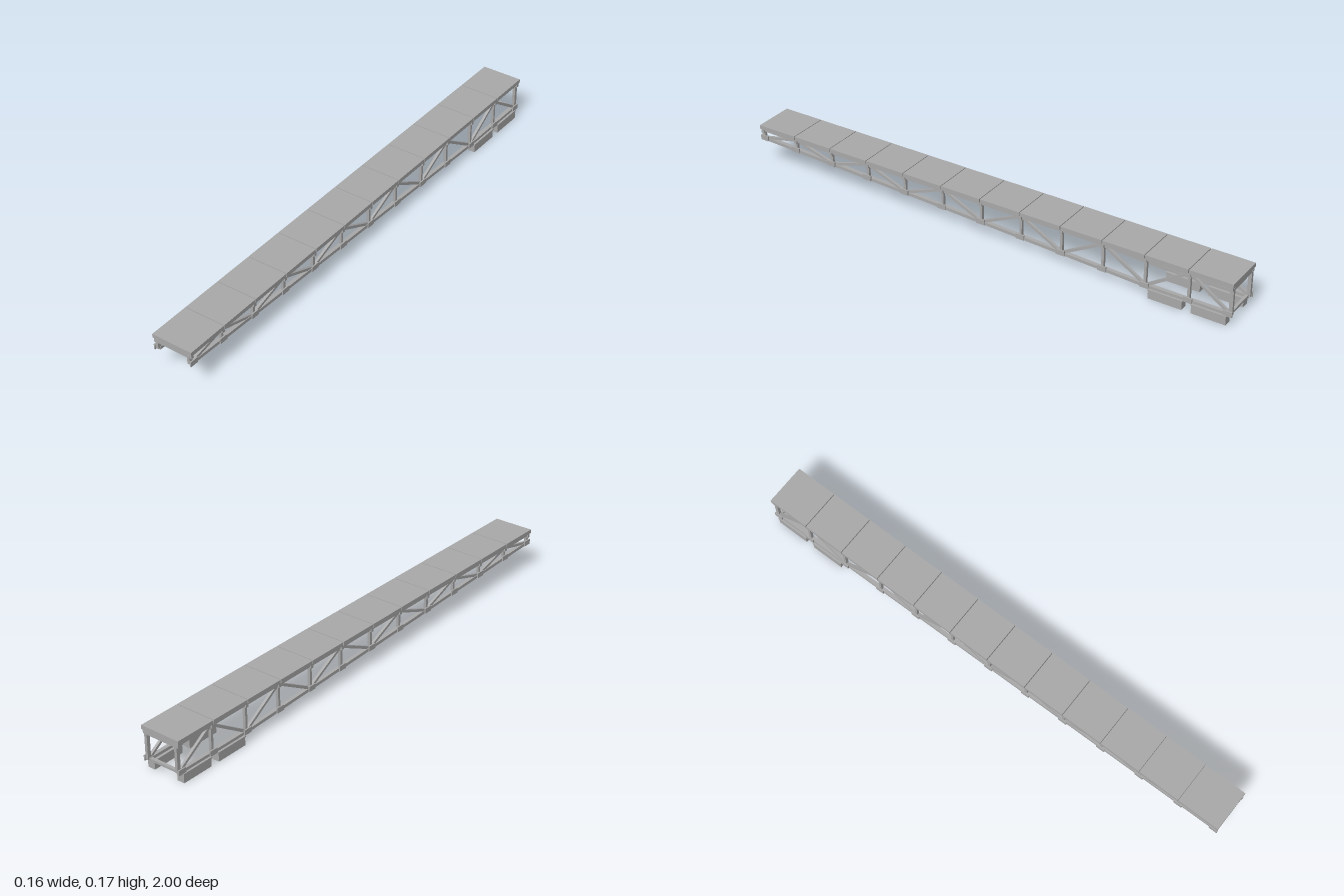
import * as THREE from 'three';

export function createModel() {
  const model = new THREE.Group();
  const steel = new THREE.MeshStandardMaterial({ color: 0xaaaaaa });
  steel.name = 'grey steel';

  const BAYS = 12, STEP = 2 / BAYS, TRUSS_X = 0.066, TOP_Y = 0.147;
  // Node positions along the span, with the end nodes drawn in to stay inside the deck
  const nodeZ = i => THREE.MathUtils.clamp(1 - i * STEP, -0.991, 0.991);
  // Lower chord slopes down towards the back, then runs level over the bearings
  const chordY = z => Math.max(0.041, 0.113 - (1 - z) * 0.0432);

  function box(parent, name, w, h, d, x, y, z) {
    const mesh = new THREE.Mesh(new THREE.BoxGeometry(w, h, d), steel);
    mesh.name = name;
    mesh.position.set(x, y, z);
    parent.add(mesh);
    return mesh;
  }

  // Straight bar between two points in the truss plane
  function bar(parent, name, x, y0, z0, y1, z1, w, h) {
    const length = Math.hypot(y1 - y0, z1 - z0);
    const mesh = box(parent, name, w, h, length, x, (y0 + y1) / 2, (z0 + z1) / 2);
    mesh.rotation.x = -Math.atan2(y1 - y0, z1 - z0);
  }

  // Deck panels with narrow joints
  const deck = new THREE.Group();
  deck.name = 'deck';
  model.add(deck);
  for (let i = 0; i < BAYS; i++) {
    const trim = 0.0015;
    const front = 1 - i * STEP - (i > 0 ? trim : 0);
    const back = 1 - (i + 1) * STEP + (i < BAYS - 1 ? trim : 0);
    box(deck, 'deckPanel', 0.162, 0.015, front - back, 0, 0.1605, (front + back) / 2);
  }

  // Cross beams under the deck at every node
  for (let i = 0; i <= BAYS; i++) {
    box(model, 'floorBeam', 0.156, 0.016, 0.012, 0, 0.145, nodeZ(i));
  }

  // Two side trusses
  for (const side of [1, -1]) {
    const truss = new THREE.Group();
    truss.name = side > 0 ? 'leftTruss' : 'rightTruss';
    model.add(truss);
    const x = side * TRUSS_X;
    box(truss, 'topChord', 0.014, 0.011, 1.994, x, TOP_Y, 0);

    for (let i = 0; i <= BAYS; i++) {
      const z = nodeZ(i), y = chordY(z);
      const end = i === 0 || i === BAYS;
      box(truss, 'post', 0.011, TOP_Y - y, end ? 0.014 : 0.01, x, (TOP_Y + y) / 2, z);
      // Gusset plate on the outer face of each lower joint
      const gz = THREE.MathUtils.clamp(z, -0.983, 0.983);
      box(truss, 'gusset', 0.005, 0.02, 0.034, side * 0.0755, y + 0.004, gz);

      if (i === BAYS) continue;
      const z1 = nodeZ(i + 1), y1 = chordY(z1);
      bar(truss, 'lowerChord', x, y, z, y1, z1, 0.015, 0.012);
      // Diagonals alternate, meeting the top chord at odd nodes
      if (i % 2 === 0) bar(truss, 'diagonal', x, y, z, TOP_Y, z1, 0.01, 0.01);
      else bar(truss, 'diagonal', x, TOP_Y, z, y1, z1, 0.01, 0.01);
    }

    // Bearing blocks with thin cap plates under the level part
    for (const z of [-0.75, -0.915]) {
      box(model, 'bearingBlock', 0.03, 0.032, 0.13, side * 0.065, 0.016, z);
      box(model, 'bearingCap', 0.033, 0.005, 0.134, side * 0.065, 0.0335, z);
    }
  }

  // Tie between the trusses at the back end
  box(model, 'endTie', 0.13, 0.009, 0.012, 0, 0.041, -0.985);

  return model;
}
